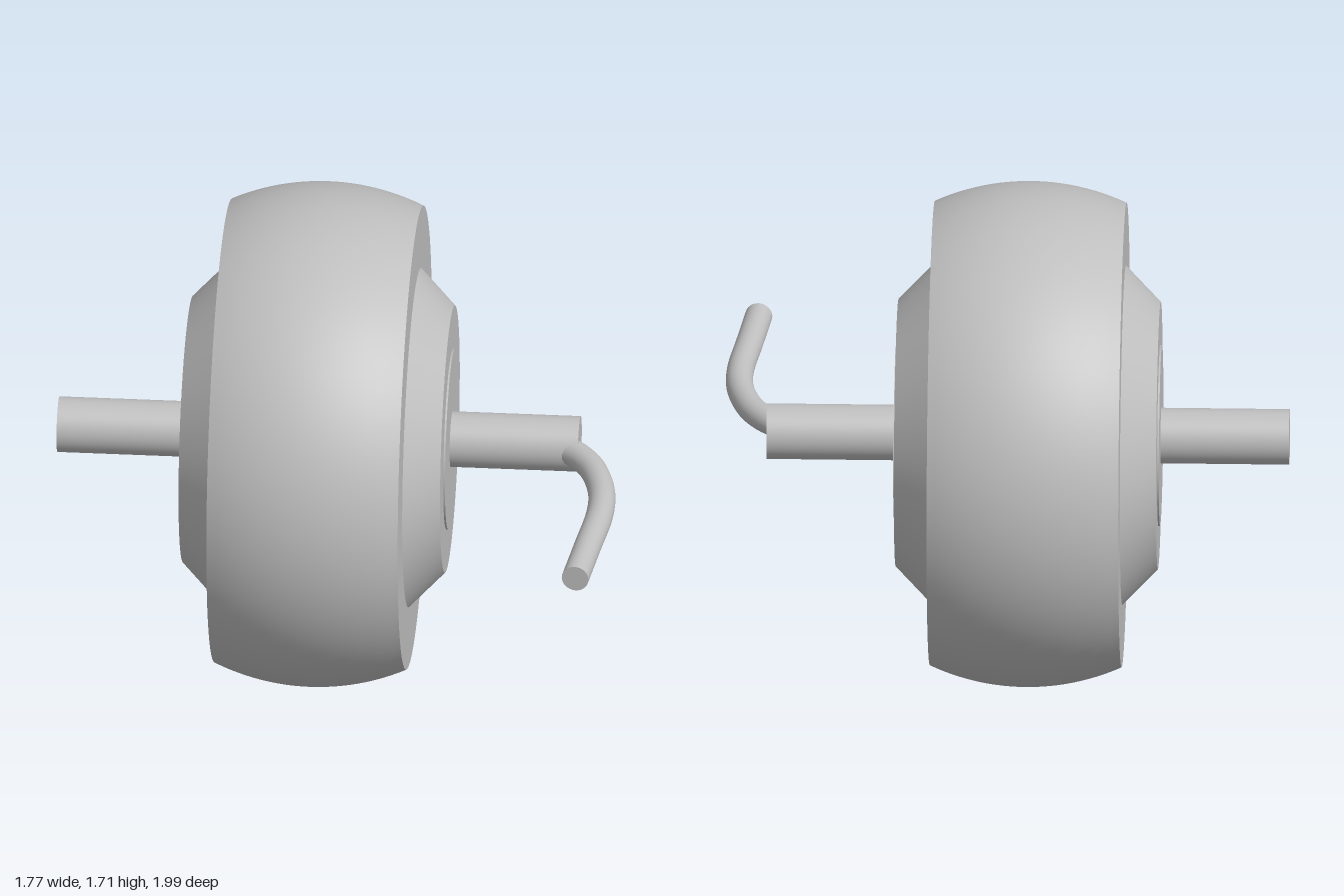
import * as THREE from 'three';
import { toCreasedNormals } from 'three/addons/utils/BufferGeometryUtils.js';

export function createModel() {
  const model = new THREE.Group();
  model.name = 'hubMotorWheel';
  const grey = new THREE.MeshStandardMaterial({ color: 0xbfbfbf });
  grey.name = 'plainGrey';

  const add = (parent, name, geometry) => {
    const mesh = new THREE.Mesh(geometry, grey);
    mesh.name = name;
    parent.add(mesh);
    return mesh;
  };
  // Solid of revolution around y from [radius, height] pairs, bottom to top
  const turned = (points) => toCreasedNormals(
    new THREE.LatheGeometry(points.map(([r, h]) => new THREE.Vector2(r, h)), 96), 0.4);

  // Wheel assembly is modelled around y, laid on its side, then swung about the vertical
  const swing = new THREE.Group();
  swing.name = 'wheelAssembly';
  swing.position.set(-0.013, 0.856, -0.152);
  swing.rotation.y = -0.292;
  model.add(swing);
  const wheel = new THREE.Group();
  wheel.name = 'wheel';
  wheel.rotation.z = -Math.PI / 2;
  swing.add(wheel);

  // Tyre: flat sides with a crowned tread
  const half = 0.324, crown = 0.855, bend = 0.785;
  const tread = [];
  for (let i = 0; i <= 24; i++) {
    const h = -half + (2 * half * i) / 24;
    tread.push([crown - bend + Math.sqrt(bend * bend - h * h), h]);
  }
  add(wheel, 'tyre', turned([[0, -half], ...tread, [0, half]]));

  // Motor housing: a bevelled cover with a thin raised disc on each side
  add(wheel, 'motorHousing', turned([
    [0, -0.443], [0.452, -0.443], [0.574, -half], [0.574, half], [0.452, 0.443], [0, 0.443],
  ]));
  add(wheel, 'coverDiscs', turned([[0, -0.449], [0.306, -0.449], [0.306, 0.449], [0, 0.449]]));

  // Axle
  add(wheel, 'axle', new THREE.CylinderGeometry(0.094, 0.094, 1.766, 48));

  // Cable leaving the axle end and bending forward
  const path = new THREE.CatmullRomCurve3([
    [0.735, 0.09], [0.795, 0.155], [0.833, 0.25], [0.841, 0.35], [0.83, 0.46],
    [0.795, 0.58], [0.71, 0.775], [0.624, 0.971],
  ].map(([x, z]) => new THREE.Vector3(x, 0.858, z)));
  const cableRadius = 0.046;
  add(model, 'cable', new THREE.TubeGeometry(path, 64, cableRadius, 28));
  const end = add(model, 'cableEnd', new THREE.CircleGeometry(cableRadius, 28));
  end.position.copy(path.getPointAt(1));
  end.lookAt(end.position.clone().add(path.getTangentAt(1)));

  return model;
}
